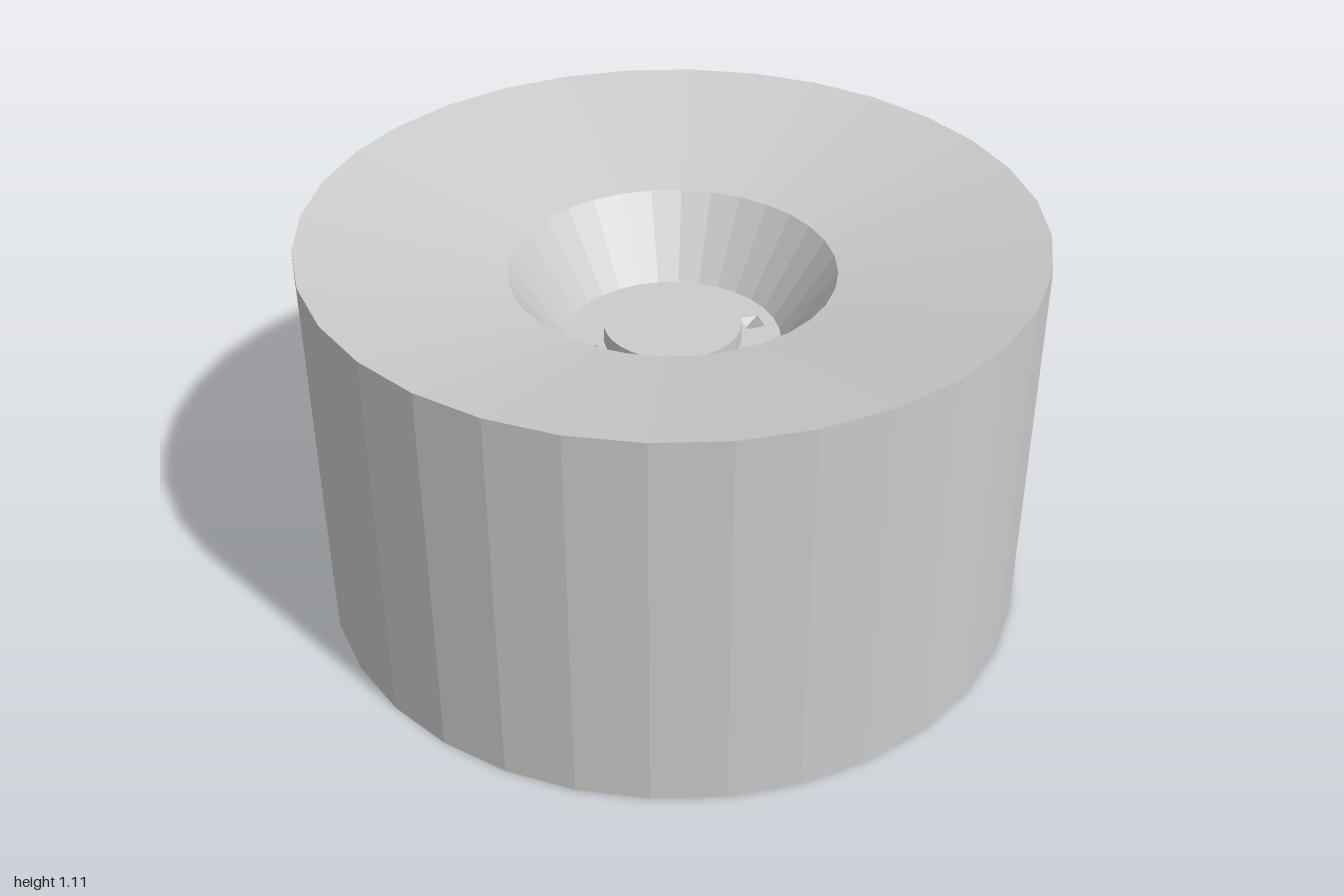
import * as THREE from 'three';

const SIDES = 32;
const HEIGHT = 1.11;
const STEP = (Math.PI * 2) / SIDES;

const material = new THREE.MeshStandardMaterial({
  color: 0xcccccc, flatShading: true, side: THREE.DoubleSide,
});

function part(name, geometry) {
  const mesh = new THREE.Mesh(geometry, material);
  mesh.name = name;
  return mesh;
}

function lathe(name, profile) {
  return part(name, new THREE.LatheGeometry(profile.map(([r, y]) => new THREE.Vector2(r, y)), SIDES));
}

// Flat ring with four slots punched on the diagonals
function slottedRing() {
  const ring = new THREE.Shape().absarc(0, 0, 0.3, 0, Math.PI * 2, false);
  ring.holes.push(new THREE.Path().absarc(0, 0, 0.19, 0, Math.PI * 2, true));
  for (let i = 0; i < 4; i++) {
    const a = Math.PI / 4 + (i * Math.PI) / 2;
    const corners = [[0.21, -0.03], [0.21, 0.03], [0.284, 0.03], [0.284, -0.03]].map(([r, t]) =>
      new THREE.Vector2(r * Math.cos(a) - t * Math.sin(a), r * Math.sin(a) + t * Math.cos(a)));
    ring.holes.push(new THREE.Path(corners));
  }
  const geometry = new THREE.ShapeGeometry(ring, SIDES / 2);
  geometry.rotateX(-Math.PI / 2).translate(0, 0.35, 0);
  return part('slottedRing', geometry);
}

// Bent tab: rises from the outer edge of its slot and leans to the axis
function tab(angle) {
  const side = new THREE.Shape([[0.284, 0.35], [0.19, 0.455], [0.175, 0.44], [0.262, 0.35]]
    .map(([r, y]) => new THREE.Vector2(r, y)));
  const geometry = new THREE.ExtrudeGeometry(side, { depth: 0.06, bevelEnabled: false });
  geometry.translate(0, 0, -0.03).rotateY(angle);
  return part('bentTab', geometry);
}

// One end of the spool: dished flange, hub cone, ring, recessed cap and tabs
function spoolEnd(name) {
  const end = new THREE.Group();
  end.name = name;
  end.add(lathe('dishedFlange', [[1, 0], [0.445, 0.128]]));
  end.add(lathe('hubCone', [[0.445, 0.128], [0.3, 0.35]]));
  end.add(slottedRing());
  end.add(lathe('hubCap', [[0.19, 0.35], [0.19, 0.3], [0, 0.3]]));
  for (let i = 0; i < 4; i++) end.add(tab(Math.PI / 4 + (i * Math.PI) / 2));
  return end;
}

export function createModel() {
  const model = new THREE.Group();
  model.name = 'spoolCase';

  // Outer wall, leaving a five-panel window at the back
  const wall = part('outerWall',
    new THREE.CylinderGeometry(1, 1, HEIGHT, SIDES - 5, 1, true, 19 * STEP, 27 * STEP));
  wall.position.y = HEIGHT / 2;
  model.add(wall);

  const bottom = spoolEnd('bottomEnd');
  const top = spoolEnd('topEnd');
  top.rotation.x = Math.PI;
  top.position.y = HEIGHT;
  model.add(bottom, top);
  return model;
}
